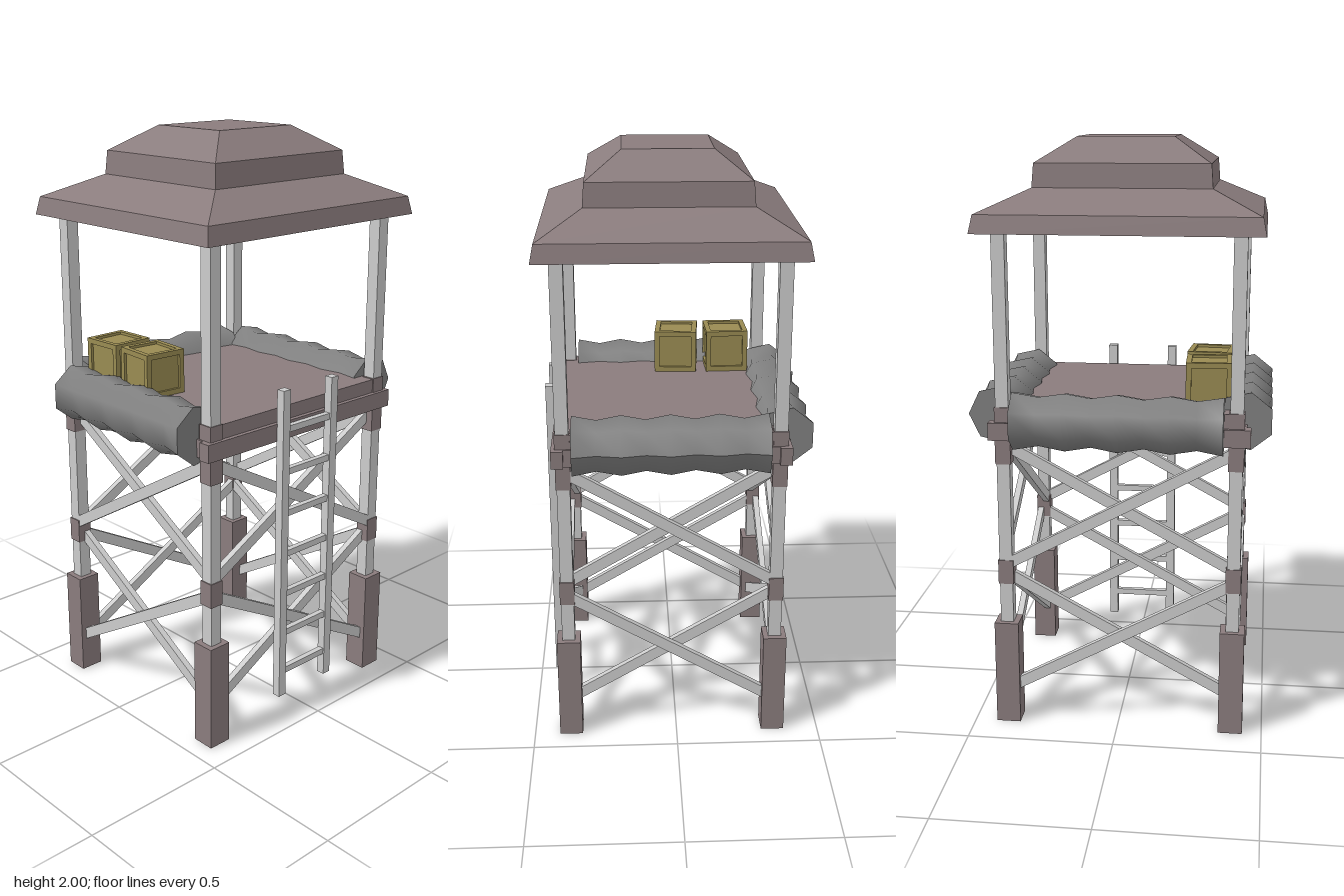
import * as THREE from 'three';

const wood = new THREE.MeshStandardMaterial({ color: 0xcccccc });
const brown = new THREE.MeshStandardMaterial({ color: 0x8a7c7d });
const cloth = new THREE.MeshStandardMaterial({ color: 0x808080 });
const crateMat = new THREE.MeshStandardMaterial({ color: 0x998b52 });
const brownFlat = new THREE.MeshStandardMaterial({ color: 0x8a7c7d, flatShading: true });

// Post centres
const X = [-0.34, 0.372], Z = [-0.383, 0.392];
const CX = (X[0] + X[1]) / 2, CZ = (Z[0] + Z[1]) / 2;

function box(parent, name, mat, w, h, d, x, y, z) {
  const m = new THREE.Mesh(new THREE.BoxGeometry(w, h, d), mat);
  m.name = name;
  m.position.set(x, y, z);
  parent.add(m);
  return m;
}

// Flat bar between two points, square to its wall
function brace(parent, a, b) {
  const A = new THREE.Vector3(...a), B = new THREE.Vector3(...b);
  const alongX = Math.abs(A.x - B.x) > 0.1;
  const len = A.distanceTo(B);
  const m = box(parent, 'brace', wood, alongX ? len : 0.022, 0.038, alongX ? 0.022 : len, 0, 0, 0);
  m.position.copy(A).add(B).multiplyScalar(0.5);
  if (alongX) m.rotation.z = Math.atan2(B.y - A.y, B.x - A.x);
  else m.rotation.x = -Math.atan2(B.y - A.y, B.z - A.z);
}

// Wavy seven-sided bundle with flat ends
function roll(name, length, yaw, x, z) {
  const g = new THREE.CylinderGeometry(0.1, 0.1, length, 7, 8);
  const p = g.attributes.position;
  for (let i = 0; i < p.count; i++) {
    const ring = Math.round((p.getY(i) / length + 0.5) * 8);
    const s = ring % 2 ? 0.85 : 1;
    p.setXYZ(i, p.getX(i) * s, p.getY(i), p.getZ(i) * s);
  }
  g.computeVertexNormals();
  g.rotateZ(Math.PI / 2).rotateY(yaw);
  const m = new THREE.Mesh(g, cloth);
  m.name = name;
  m.position.set(x, 1.093, z);
  return m;
}

// Crate: recessed core with twelve edge bars
function crate(x, z, turn) {
  const g = new THREE.Group();
  g.name = 'crate';
  const s = 0.152, t = 0.018, o = (s - t) / 2;
  box(g, 'crateCore', crateMat, s - 0.018, s - 0.018, s - 0.018, 0, 0, 0);
  for (const a of [-o, o]) for (const b of [-o, o]) {
    box(g, 'crateEdge', crateMat, s, t, t, 0, a, b);
    box(g, 'crateEdge', crateMat, t, s - 2 * t, t, a, 0, b);
    box(g, 'crateEdge', crateMat, t, t, s - 2 * t, a, b, 0);
  }
  g.position.set(x, 1.13 + s / 2, z);
  g.rotation.y = turn;
  return g;
}

// Closed solid through stacked rectangles [y, x0, x1, z0, z1]
function loftRects(rects) {
  const pos = [];
  const rings = rects.map(([y, x0, x1, z0, z1]) => [[x0, y, z1], [x1, y, z1], [x1, y, z0], [x0, y, z0]]);
  const quad = (a, b, c, d) => pos.push(...a, ...b, ...c, ...a, ...c, ...d);
  for (let r = 0; r < rings.length - 1; r++) {
    for (let i = 0; i < 4; i++) {
      const j = (i + 1) % 4;
      quad(rings[r][i], rings[r][j], rings[r + 1][j], rings[r + 1][i]);
    }
  }
  quad(...rings[rings.length - 1]);
  quad(...rings[0].slice().reverse());
  const g = new THREE.BufferGeometry();
  g.setAttribute('position', new THREE.Float32BufferAttribute(pos, 3));
  g.computeVertexNormals();
  return g;
}

export function createModel() {
  const tower = new THREE.Group();
  tower.name = 'watchtower';

  // Corner posts with feet and cuffs
  for (const x of X) for (const z of Z) {
    const leg = new THREE.Group();
    leg.name = 'leg';
    box(leg, 'post', wood, 0.044, 1.4, 0.044, x, 1.02, z);
    box(leg, 'foot', brown, 0.08, 0.37, 0.083, x, 0.185, z);
    box(leg, 'middleCuff', brown, 0.05, 0.085, 0.052, x, 0.553, z);
    box(leg, 'upperCuff', brown, 0.05, 0.195, 0.052, x, 1.035, z);
    tower.add(leg);
  }

  // Crossed braces on all four walls, two tiers
  const braces = new THREE.Group();
  braces.name = 'braces';
  for (const [y0, y1] of [[0.12, 0.54], [0.58, 1.0]]) {
    for (const z of Z) {
      const s = Math.sign(z) * 0.011;
      brace(braces, [X[0], y0, z + s], [X[1], y1, z + s]);
      brace(braces, [X[0], y1, z - s], [X[1], y0, z - s]);
    }
    for (const x of X) {
      const s = Math.sign(x) * 0.011;
      brace(braces, [x + s, y0, Z[0]], [x + s, y1, Z[1]]);
      brace(braces, [x - s, y1, Z[0]], [x - s, y0, Z[1]]);
    }
  }
  tower.add(braces);

  // Platform: edge beams and floor
  const platform = new THREE.Group();
  platform.name = 'platform';
  for (const s of [-1, 1]) {
    box(platform, 'sideBeam', brown, 0.04, 0.06, 0.868, CX + s * 0.373, 1.052, CZ);
    box(platform, 'endBeam', brown, 0.706, 0.06, 0.04, CX, 1.052, CZ + s * 0.4);
  }
  box(platform, 'floor', brown, 0.755, 0.05, 0.82, CX, 1.105, CZ);
  tower.add(platform);

  // Bundles on three sides; the ladder side stays open
  tower.add(roll('frontRoll', 0.64, Math.PI, 0.02, 0.415));
  tower.add(roll('backRoll', 0.64, Math.PI, 0.02, -0.41));
  tower.add(roll('sideRoll', 0.695, Math.PI / 2, -0.363, 0.003));

  // Ladder
  const ladder = new THREE.Group();
  ladder.name = 'ladder';
  for (const z of [-0.109, 0.119]) box(ladder, 'rail', wood, 0.03, 1.115, 0.032, 0.422, 0.642, z);
  for (let i = 0; i < 7; i++) box(ladder, 'rung', wood, 0.02, 0.022, 0.2, 0.422, 0.175 + i * 0.148, 0.005);
  tower.add(ladder);

  // Crates
  tower.add(crate(-0.21, 0.293, 0.03), crate(-0.028, 0.293, -0.08));

  // Two-tier hipped roof
  const roof = new THREE.Mesh(loftRects([
    [1.705, -0.415, 0.447, -0.465, 0.472],
    [1.765, -0.403, 0.435, -0.453, 0.46],
    [1.84, -0.252, 0.29, -0.29, 0.297],
    [1.918, -0.246, 0.284, -0.284, 0.291],
    [2.0, -0.13, 0.166, -0.157, 0.164],
  ]), brownFlat);
  roof.name = 'roof';
  tower.add(roof);

  return tower;
}
